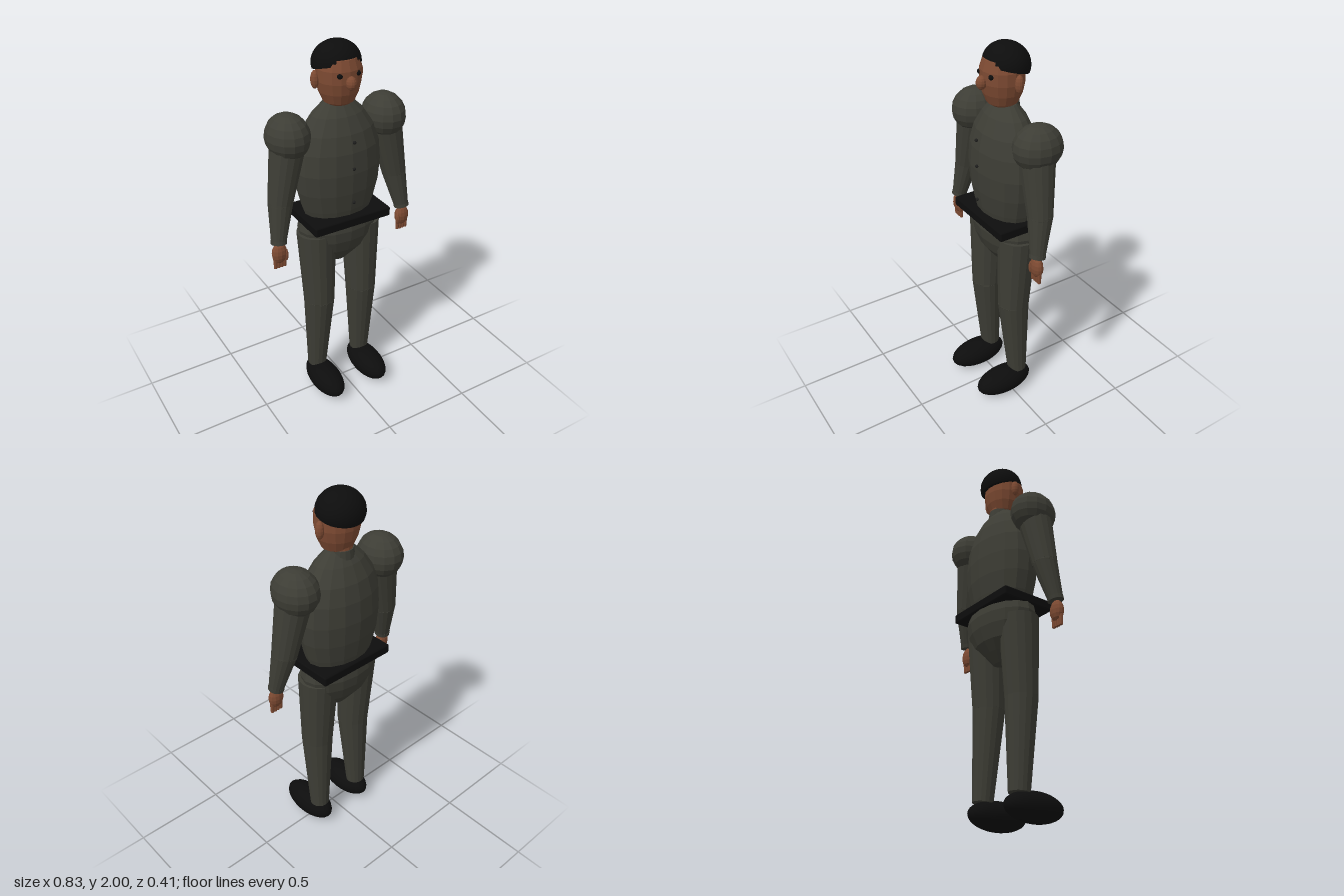
import * as THREE from 'three';
import { RoundedBoxGeometry } from 'three/addons/geometries/RoundedBoxGeometry.js';

export function createModel() {
  const model = new THREE.Group();
  const material = (name, color, flatShading = false) => {
    const m = new THREE.MeshStandardMaterial({ color, flatShading });
    m.name = name;
    return m;
  };
  const cloth = material('olive cloth', 0x3d3d35, true);
  const skin = material('brown skin', 0x7d4a32, true);
  const black = material('black leather and hair', 0x0d0d0d);
  const dark = material('dark buttons', 0x1f1f1e);

  const add = (name, geometry, mat, parent = model) => {
    const mesh = new THREE.Mesh(geometry, mat);
    mesh.name = name;
    parent.add(mesh);
    return mesh;
  };
  // Ellipsoid from a centre and three radii
  const ball = (name, mat, pos, radii, parent = model, w = 16, h = 10) => {
    const mesh = add(name, new THREE.SphereGeometry(1, w, h), mat, parent);
    mesh.position.set(...pos);
    mesh.scale.set(...radii);
    return mesh;
  };
  // Tapered tube running from point a down to point b
  const limb = (name, mat, a, b, ra, rb, parent = model, sides = 16) => {
    const from = new THREE.Vector3(...a), to = new THREE.Vector3(...b);
    const dir = from.clone().sub(to);
    const mesh = add(name, new THREE.CylinderGeometry(ra, rb, dir.length(), sides), mat, parent);
    mesh.position.copy(from).add(to).multiplyScalar(0.5);
    mesh.quaternion.setFromUnitVectors(new THREE.Vector3(0, 1, 0), dir.normalize());
    return mesh;
  };
  // Turned body with an oval section, profile listed from bottom to top
  const oval = (name, mat, profile, depth, z) => {
    const pts = profile.map(([r, y]) => new THREE.Vector2(r, y));
    const mesh = add(name, new THREE.LatheGeometry(pts, 16), mat);
    mesh.scale.z = depth;
    mesh.position.z = z;
    return mesh;
  };

  // Jacket, hips and collar
  oval('jacket', cloth, [[0, 1.08], [0.175, 1.09], [0.2, 1.16], [0.225, 1.26], [0.235, 1.37],
    [0.225, 1.48], [0.195, 1.57], [0.14, 1.65], [0.075, 1.71], [0, 1.715]], 0.66, -0.05);
  oval('hips', cloth, [[0, 0.8], [0.05, 0.81], [0.115, 0.86], [0.175, 0.91], [0.215, 0.98],
    [0.228, 1.04], [0.215, 1.1], [0, 1.11]], 0.63, -0.05);
  limb('collar', cloth, [0, 1.715, -0.06], [0, 1.67, -0.06], 0.062, 0.068);
  limb('neck', skin, [0, 1.78, -0.055], [0, 1.68, -0.06], 0.058, 0.058);

  // Broad square belt
  add('belt', new RoundedBoxGeometry(0.44, 0.05, 0.31, 2, 0.008), black).position.set(0, 1.105, -0.04);

  // Front buttons
  for (const y of [1.22, 1.405, 1.545]) ball('button', dark, [0, y, 0.112], [0.009, 0.009, 0.008], model, 8, 6);

  // Head and face
  oval('head', skin, [[0, 1.695], [0.055, 1.7], [0.078, 1.715], [0.1, 1.765], [0.112, 1.82],
    [0.112, 1.88], [0.095, 1.93], [0, 1.96]], 0.96, -0.035);
  ball('nose', skin, [0, 1.828, 0.08], [0.026, 0.034, 0.027], model, 12, 8);
  const hair = add('hair', new THREE.SphereGeometry(1, 24, 12, 0, Math.PI * 2, 0, Math.PI * 0.55), black);
  hair.scale.set(0.122, 0.105, 0.114);
  hair.position.set(0, 1.895, -0.057);
  hair.rotation.x = -0.26;
  // Underside closing the hair cap
  const rim = add('hairUnderside', new THREE.CircleGeometry(0.988, 24).rotateX(Math.PI / 2), black, hair);
  rim.position.y = Math.cos(Math.PI * 0.55);

  // Mirrored parts, s = 1 is the model's own left
  for (const s of [1, -1]) {
    const side = s > 0 ? 'left' : 'right';
    ball(side + 'Ear', skin, [0.12 * s, 1.83, -0.05], [0.021, 0.045, 0.022], model, 12, 8);
    ball(side + 'Eye', black, [0.048 * s, 1.863, 0.058], [0.015, 0.013, 0.012], model, 10, 8);

    // Sleeve with a puffed shoulder
    const arm = new THREE.Group();
    arm.name = side + 'Arm';
    model.add(arm);
    const elbow = [0.335 * s, 1.25, -0.032];
    ball('shoulder', cloth, [0.272 * s, 1.577, -0.052], [0.109, 0.116, 0.127], arm, 14, 10);
    limb('upperSleeve', cloth, [0.28 * s, 1.52, -0.045], elbow, 0.088, 0.064, arm);
    ball('elbow', cloth, elbow, [0.064, 0.05, 0.064], arm);
    limb('lowerSleeve', cloth, elbow, [0.37 * s, 1.05, 0], 0.064, 0.039, arm);
    limb('cuff', cloth, [0.369 * s, 1.06, -0.002], [0.371 * s, 1.04, 0.002], 0.041, 0.041, arm);

    // Hand with four fingers and a thumb
    ball('palm', skin, [0.372 * s, 0.985, 0.005], [0.042, 0.057, 0.029], arm, 12, 8);
    for (let i = 0; i < 4; i++) {
      const x = (0.347 + i * 0.017) * s;
      limb('finger', skin, [x, 0.97, 0.006], [x, 0.902, 0.006], 0.012, 0.009, arm, 8);
    }
    ball('thumb', skin, [0.34 * s, 0.972, 0.016], [0.012, 0.035, 0.013], arm, 8, 6);

    // Trouser leg and shoe
    const leg = new THREE.Group();
    leg.name = side + 'Leg';
    model.add(leg);
    const knee = [0.132 * s, 0.6, -0.026];
    limb('thigh', cloth, [0.133 * s, 1.02, -0.042], knee, 0.104, 0.084, leg);
    ball('knee', cloth, knee, [0.084, 0.05, 0.084], leg);
    limb('shin', cloth, knee, [0.141 * s, 0.13, -0.05], 0.084, 0.053, leg);
    ball('shoe', black, [0.14 * s, 0.075, 0.038], [0.083, 0.075, 0.169], leg, 24, 16);
  }
  return model;
}
